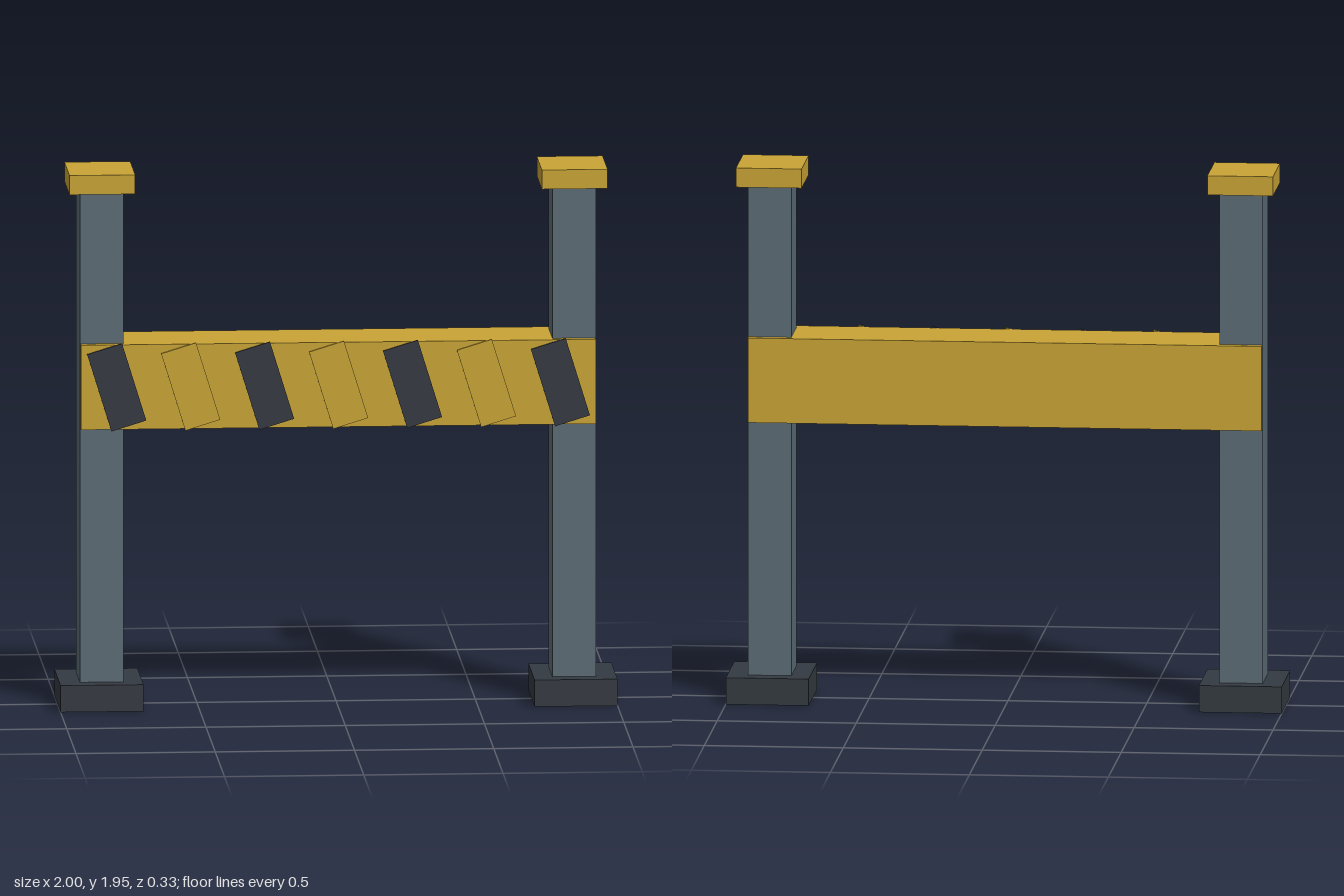
import * as THREE from 'three';

const material = (name, color) => {
  const m = new THREE.MeshStandardMaterial({ color });
  m.name = name;
  return m;
};

export function createModel() {
  const yellow = material('safety yellow', 0xc9a435);
  const steel = material('grey steel', 0x5b6c75);
  const dark = material('dark rubber', 0x343a41);

  const model = new THREE.Group();
  model.name = 'barrier';

  const addBox = (name, mat, [w, h, d], [x, y, z]) => {
    const mesh = new THREE.Mesh(new THREE.BoxGeometry(w, h, d), mat);
    mesh.name = name;
    mesh.position.set(x, y, z);
    model.add(mesh);
    return mesh;
  };

  // Two posts, each with a foot and a cap
  for (const [side, s] of [['left', 1], ['right', -1]]) {
    addBox(side + 'Foot', dark, [0.298, 0.097, 0.334], [s * 0.851, 0.0485, 0]);
    addBox(side + 'Post', steel, [0.156, 1.86, 0.21], [s * 0.848, 0.98, 0]);
    addBox(side + 'Cap', yellow, [0.236, 0.07, 0.274], [s * 0.848, 1.913, 0]);
  }

  // Cross beam, its ends a hair inside the outer post faces
  addBox('beam', yellow, [1.848, 0.308, 0.266], [0, 1.175, 0]);

  // Slanted plates on the front of the beam, alternating dark and yellow
  for (let i = 0; i < 7; i++) {
    const stripe = addBox('stripe' + (i + 1), i % 2 ? yellow : dark,
      [0.131, 0.294, 0.009], [(i - 3) * 0.2655, 1.175, 0.1372]);
    stripe.rotation.z = 0.3;
  }

  return model;
}
